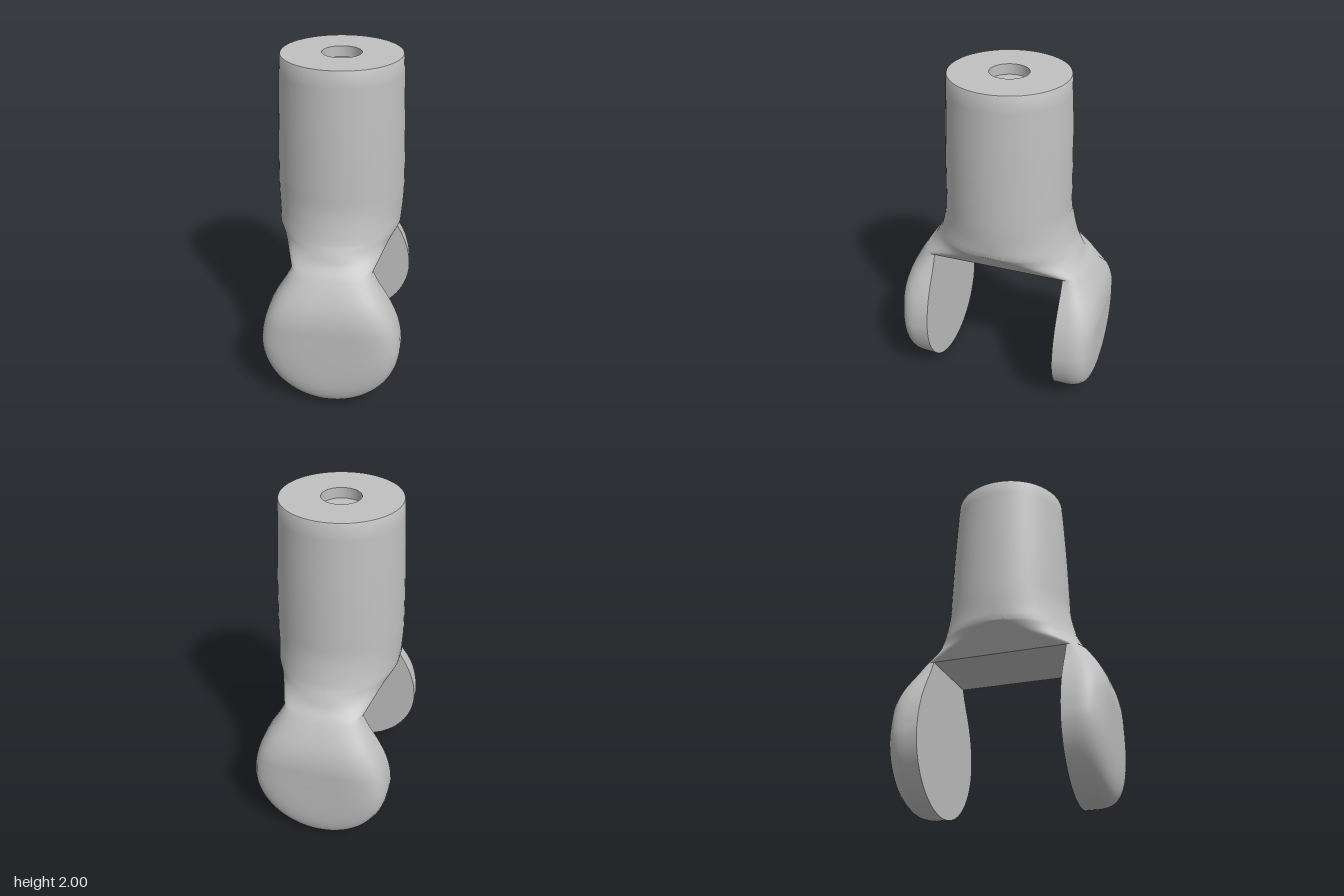
import * as THREE from 'three';
import { toCreasedNormals, mergeGeometries } from 'three/addons/utils/BufferGeometryUtils.js';

const Q = 16;            // steps per quarter section
const R = 0.41;          // radius and centre height of the round arm ends
const CROTCH = 0.87, EDGE = 1.02, SEAM = 1.91, GAP = 0.4;

// Smooth lookup through rows of [y, ...values]
function table(rows) {
  const size = rows[0].length - 1;
  const it = new THREE.CubicInterpolant(rows.map(r => r[0]), rows.flatMap(r => r.slice(1)), size, new Float32Array(size));
  return y => Array.from(it.evaluate(y));
}

// Half width, start of the rounding in z, depth of the rounding, squareness
const armAt = table([
  [0.41, 0.41, GAP, 0.22, 4.3], [0.5, 0.4, GAP, 0.22, 4.2], [0.6, 0.372, GAP, 0.218, 4],
  [0.7, 0.325, GAP, 0.197, 3.5], [0.8, 0.266, GAP, 0.15, 2.9], [0.87, 0.232, GAP, 0.105, 2.5]]);
const webAt = table([
  [0.87, 0.232, GAP, 0.105, 2.5], [0.91, 0.264, 0.3, 0.168, 2.2],
  [0.96, 0.306, 0.16, 0.283, 2], [1.02, 0.358, 0.04, 0.372, 2]]);
const barrelAt = table([
  [1.02, 0.358, 0.04, 0.372, 2], [1.1, 0.365, 0.005, 0.386, 2], [1.2, 0.37, 0, 0.372, 2],
  [1.3, 0.369, 0, 0.369, 2], [1.6, 0.36, 0, 0.36, 2], [1.91, 0.345, 0, 0.345, 2]]);
const sectionAt = y => (y < CROTCH ? armAt : y < EDGE ? webAt : barrelAt)(y);

// Quarter of a rounded section: f runs 1 to 0 across, g runs 0 to 1 in depth
function quarter(j, n) {
  if (j === 0) return [1, 0];
  if (j === Q) return [0, 1];
  const a = (j / Q) * Math.PI / 2;
  return [Math.cos(a) ** (2 / n), Math.sin(a) ** (2 / n)];
}

// Skin rows of points
function skin(rows) {
  const pos = [];
  for (let i = 0; i + 1 < rows.length; i++) {
    for (let j = 0; j + 1 < rows[i].length; j++) {
      const a = rows[i][j], b = rows[i][j + 1], c = rows[i + 1][j], d = rows[i + 1][j + 1];
      for (const p of [a, c, b, b, c, d]) pos.push(...p);
    }
  }
  const geo = new THREE.BufferGeometry();
  geo.setAttribute('position', new THREE.Float32BufferAttribute(pos, 3));
  return geo;
}

// Closed section of the web or barrel
function ring(at, y) {
  const [w, s, h, n] = at(y);
  const front = [];
  for (let j = 0; j <= Q; j++) {
    const [f, g] = quarter(j, n);
    front.push([w * f, y, s + h * g]);
  }
  const left = front.slice(0, Q).reverse().map(([x, , z]) => [-x, y, z]);
  const half = [...front, ...left];
  const back = half.map(([x, , z]) => [-x, y, -z]);
  return [...half, ...back, half[0]];
}

function loft(at, y0, y1, steps) {
  const rows = [];
  for (let i = 0; i <= steps; i++) rows.push(ring(at, i === steps ? y1 : y0 + (y1 - y0) * i / steps));
  return skin(rows);
}

// Teardrop outline, anticlockwise from the left neck: x, y, spine height, depth, squareness
function armOutline() {
  const side = [];
  for (let i = 0; i <= 20; i++) {
    const y = i === 20 ? CROTCH : R + (CROTCH - R) * i / 20;
    const [w, , h, n] = armAt(y);
    side.push([w, y, y, h, n]);
  }
  const out = side.slice().reverse().map(([x, ...rest]) => [-x, ...rest]);
  for (let i = 1; i < 40; i++) {
    const a = Math.PI * (1 + i / 40);
    out.push([R * Math.cos(a), R + R * Math.sin(a), R, 0.22, 4.3]);
  }
  return [...out, ...side];
}

function armGeometry() {
  const outline = armOutline();
  // Domed outer side
  const dome = skin(outline.map(([x, y, spine, h, n]) => {
    const row = [];
    for (let j = 0; j <= Q; j++) {
      const [f, g] = quarter(j, n);
      row.push([x * f, spine + (y - spine) * f, GAP + h * g]);
    }
    return row;
  }));
  // Flat inner face
  const flat = new THREE.ShapeGeometry(new THREE.Shape(outline.map(p => new THREE.Vector2(p[0], p[1]))));
  flat.rotateY(Math.PI).translate(0, 0, GAP);
  return [dome, plain(flat)];
}

// Keep positions only so that pieces can be merged
function plain(geo) {
  const g = geo.index ? geo.toNonIndexed() : geo;
  g.deleteAttribute('uv');
  g.deleteAttribute('normal');
  return g;
}

// Inlaid panel on the back arm, with a tongue running up the neck
function panelGeometry() {
  const widthAt = table([
    [0.41, 0.38], [0.5, 0.37], [0.6, 0.335], [0.7, 0.265], [0.8, 0.165], [0.87, 0.118],
    [0.95, 0.095], [1.05, 0.105], [1.12, 0.105], [1.18, 0.07], [1.21, 0.005]]);
  const depth = (x, y) => {
    const [w, s, h, n] = sectionAt(Math.max(y, R));
    const f = y < R ? Math.hypot(x, R - y) / R : Math.abs(x) / w;
    return s + h * Math.max(0, 1 - f ** n) ** (1 / n) + 0.003;
  };
  const rows = [];
  for (let i = 0; i <= 70; i++) {
    const a = Math.min(i / 30, 1) * Math.PI / 2;
    const y = i <= 30 ? R - 0.38 * Math.cos(a) : R + (1.21 - R) * (i - 30) / 40;
    const half = i <= 30 ? 0.38 * Math.sin(a) : widthAt(y)[0];
    const row = [];
    for (let j = 0; j <= 32; j++) {
      const x = half * Math.cos(Math.PI * j / 32);
      row.push([x, y, depth(x, y)]);
    }
    rows.push(row);
  }
  return skin(rows).rotateY(Math.PI);
}

export function createModel() {
  const group = new THREE.Group();
  const grey = new THREE.MeshStandardMaterial({ color: 0xc0c0c0 });
  grey.name = 'light grey';
  const add = (name, geo, crease) => {
    const mesh = new THREE.Mesh(toCreasedNormals(geo, crease), grey);
    mesh.name = name;
    group.add(mesh);
  };

  // Barrel, web and both arms in one smooth skin
  const arm = armGeometry();
  const crotch = plain(new THREE.PlaneGeometry(0.464, 2 * GAP).rotateX(Math.PI / 2).translate(0, CROTCH, 0));
  add('forkBody', mergeGeometries([
    loft(barrelAt, EDGE, SEAM, 24), loft(webAt, CROTCH, EDGE, 12), crotch,
    ...arm, ...arm.map(g => g.clone().rotateY(Math.PI))]), 0.6);

  // Top collar with a shallow centre hole
  const profile = [[0.345, SEAM], [0.339, 1.995], [0.336, 2], [0.11, 2], [0.11, 1.94], [0, 1.94]];
  add('topCollar', new THREE.LatheGeometry(profile.map(p => new THREE.Vector2(...p)), 64), 0.6);

  add('backPanel', panelGeometry(), 0.8);
  return group;
}
